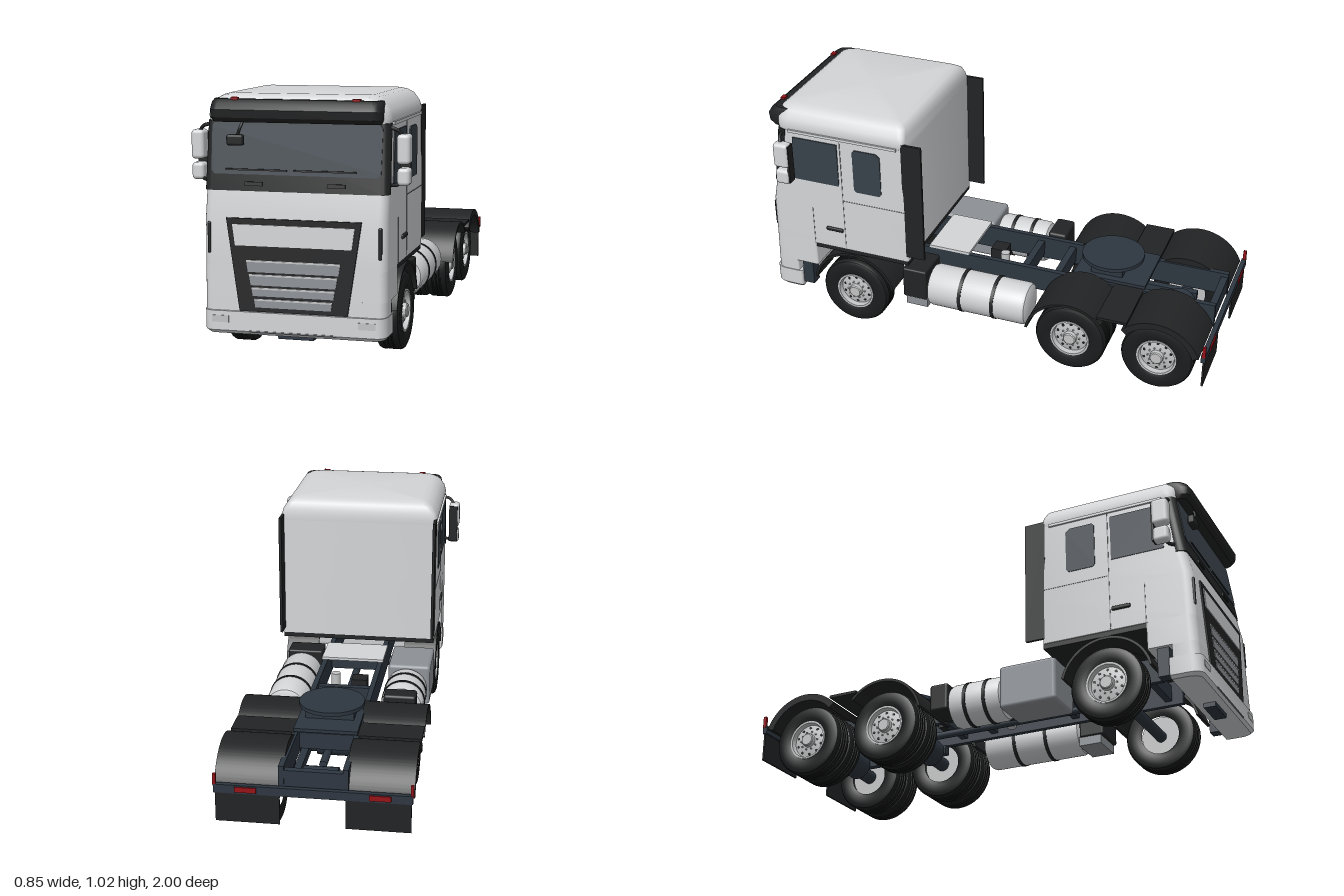
import * as THREE from 'three';
import { toCreasedNormals } from 'three/addons/utils/BufferGeometryUtils.js';
import { RoundedBoxGeometry } from 'three/addons/geometries/RoundedBoxGeometry.js';

const paint = (name, color) => Object.assign(new THREE.MeshStandardMaterial({ color }), { name });

export function createModel() {
  const root = new THREE.Group();
  root.name = 'tractorTruck';
  const body = paint('bodyPaint', 0xd3d5d7), black = paint('blackPlastic', 0x222324), glass = paint('tintedGlass', 0x39424a);
  const steel = paint('chassisSteel', 0x2d3640), rubber = paint('tyreRubber', 0x1b1c1d), silver = paint('rimSilver', 0xc2c3c4);
  const grey = paint('greyMetal', 0x8d9196), red = paint('redLamp', 0x961218);

  const add = (name, geo, mat, x = 0, y = 0, z = 0, parent = root) => {
    const m = new THREE.Mesh(geo, mat);
    m.name = name;
    m.position.set(x, y, z);
    parent.add(m);
    return m;
  };
  const box = (name, mat, w, h, d, x, y, z) => add(name, new THREE.BoxGeometry(w, h, d), mat, x, y, z);
  const rbox = (name, mat, w, h, d, x, y, z, r) => add(name, new RoundedBoxGeometry(w, h, d, 3, r), mat, x, y, z);
  const cyl = (name, mat, r, len, axis, x, y, z, seg = 32) => {
    const g = new THREE.CylinderGeometry(r, r, len, seg);
    if (axis === 'x') g.rotateZ(Math.PI / 2);
    if (axis === 'z') g.rotateX(Math.PI / 2);
    return add(name, g, mat, x, y, z);
  };
  const bothSides = (fn) => [1, -1].forEach(fn);

  // Stacks rounded plan outlines: [y, halfWidth, zBack, zFront, frontRadius, backRadius]
  const loft = (name, mat, sections, crease = 0.5) => {
    const rings = sections.map(([y, w, zb, zf, rf, rb]) => {
      const pts = [];
      [[1, 1], [-1, 1], [-1, -1], [1, -1]].forEach(([sx, sz], q) => {
        const rz = sz > 0 ? rf : rb, rx = rz * 0.75;
        for (let k = 0; k <= 5; k++) {
          const a = (q + k / 5) * Math.PI / 2;
          pts.push([sx * (w - rx) + rx * Math.cos(a), y, (sz > 0 ? zf - rz : zb + rz) + rz * Math.sin(a)]);
        }
      });
      return pts;
    });
    const pos = [], n = rings[0].length;
    const tri = (...p) => p.forEach((v) => pos.push(...v));
    const mid = (s) => [0, s[0], (s[2] + s[3]) / 2];
    const last = rings.length - 1;
    for (let i = 0; i < n; i++) {
      const j = (i + 1) % n;
      for (let k = 0; k < last; k++) {
        tri(rings[k][i], rings[k + 1][i], rings[k + 1][j]);
        tri(rings[k][i], rings[k + 1][j], rings[k][j]);
      }
      tri(mid(sections[0]), rings[0][i], rings[0][j]);
      tri(mid(sections[last]), rings[last][j], rings[last][i]);
    }
    const g = new THREE.BufferGeometry();
    g.setAttribute('position', new THREE.Float32BufferAttribute(pos, 3));
    return add(name, toCreasedNormals(g, crease), mat);
  };

  // Plates: front ones follow the raked nose, side ones take (z, y) outlines
  const shapeOf = (pts) => new THREE.Shape(pts.map((p) => new THREE.Vector2(...p)));
  const noseZ = (y) => y < 0.56 ? 0.985 - (y - 0.2) * 0.02 : y < 0.66 ? 0.978 - (y - 0.56) * 0.2 : 0.958 - (y - 0.66) * 0.14;
  const frontPlate = (name, mat, pts, off, depth = 0.006) => {
    const g = new THREE.ExtrudeGeometry(shapeOf(pts), { depth, bevelEnabled: false });
    const p = g.attributes.position;
    for (let i = 0; i < p.count; i++) p.setZ(i, p.getZ(i) + noseZ(p.getY(i)) + off);
    g.computeVertexNormals();
    return add(name, g, mat);
  };
  const trapezoid = (y0, y1, w0, w1, cx = 0) => [[cx - w0, y0], [cx + w0, y0], [cx + w1, y1], [cx - w1, y1]];
  const sideExtrude = (name, mat, shape, width, x, y = 0, z = 0) => {
    const g = new THREE.ExtrudeGeometry(shape, { depth: width, bevelEnabled: false, curveSegments: 32 });
    g.translate(0, 0, -width / 2).rotateY(-Math.PI / 2);
    return add(name, toCreasedNormals(g, 0.5), mat, x, y, z);
  };
  const arch = (r0, r1, deg0, deg1) => {
    const s = new THREE.Shape(), a = deg0 * Math.PI / 180, b = deg1 * Math.PI / 180;
    s.absarc(0, 0, r1, a, b, false);
    s.absarc(0, 0, r0, b, a, true);
    return s;
  };

  // Cab shell, roof and bumper
  loft('cabBody', body, [[0.375, 0.355, 0.335, 0.981, 0.04, 0.015], [0.56, 0.355, 0.335, 0.978, 0.04, 0.015],
    [0.66, 0.355, 0.335, 0.958, 0.04, 0.015], [0.92, 0.352, 0.335, 0.922, 0.04, 0.015]]);
  loft('cabLowerFront', body, [[0.26, 0.355, 0.78, 0.984, 0.04, 0.01], [0.376, 0.355, 0.78, 0.981, 0.04, 0.01]]);
  loft('bumperUpper', body, [[0.2, 0.354, 0.88, 0.985, 0.04, 0.01], [0.262, 0.355, 0.88, 0.984, 0.04, 0.01]]);
  loft('bumper', body, [[0.117, 0.345, 0.87, 0.985, 0.05, 0.01], [0.13, 0.356, 0.865, 0.996, 0.05, 0.01], [0.205, 0.357, 0.865, 0.996, 0.05, 0.01]]);
  loft('roof', body, [[0.915, 0.35, 0.335, 0.925, 0.04, 0.02], [0.94, 0.356, 0.335, 0.93, 0.05, 0.02], [0.97, 0.348, 0.337, 0.935, 0.06, 0.03],
    [1.0, 0.328, 0.345, 0.928, 0.06, 0.03], [1.015, 0.305, 0.362, 0.91, 0.06, 0.03], [1.022, 0.28, 0.39, 0.88, 0.06, 0.03]], 0.9);
  loft('sunVisor', black, [[0.918, 0.325, 0.88, 0.965, 0.04, 0.01], [0.935, 0.332, 0.88, 0.98, 0.045, 0.01],
    [0.965, 0.332, 0.88, 0.984, 0.045, 0.01], [0.99, 0.33, 0.88, 0.968, 0.045, 0.01], [1.003, 0.325, 0.88, 0.95, 0.045, 0.01]]);
  loft('windscreenSurround', black, [[0.66, 0.358, 0.92, 0.962, 0.035, 0.002], [0.92, 0.355, 0.885, 0.926, 0.035, 0.002]]);
  box('cabFloorEdge', black, 0.7, 0.022, 0.445, 0, 0.365, 0.56);

  // Windscreen, wipers and front mirror
  frontPlate('windscreen', glass, [[-0.315, 0.722], [0.315, 0.722], [0.328, 0.735], [0.33, 0.9], [0.322, 0.915], [-0.322, 0.915], [-0.33, 0.9], [-0.328, 0.735]], 0.001);
  frontPlate('wiperRight', black, trapezoid(0.737, 0.743, 0.12, 0.12, -0.15), 0.008);
  frontPlate('wiperLeft', black, trapezoid(0.737, 0.743, 0.12, 0.12, 0.115), 0.008);
  rbox('kerbMirror', black, 0.066, 0.042, 0.03, -0.23, 0.851, 0.96, 0.01);
  const rod = (name, pts, r = 0.006) => add(name, new THREE.TubeGeometry(new THREE.CatmullRomCurve3(pts.map((p) => new THREE.Vector3(...p))), 12, r, 8), black);
  rod('kerbMirrorArm', [[-0.225, 0.86, 0.96], [-0.21, 0.895, 0.965], [-0.2, 0.925, 0.955]]);

  // Grille with body-coloured insert and slats
  frontPlate('grille', black, trapezoid(0.207, 0.56, 0.21, 0.262), 0, 0.007);
  frontPlate('grilleInsert', body, trapezoid(0.457, 0.537, 0.226, 0.237), 0.004, 0.007);
  [[0.358, 0.403, 0.176, 0.183], [0.308, 0.35, 0.165, 0.172], [0.267, 0.3, 0.157, 0.162], [0.224, 0.257, 0.147, 0.152]].forEach(([a, b, w0, w1]) => {
    frontPlate('grilleSlat', grey, trapezoid(a, b, w0, w1), 0.004);
    frontPlate('slatEdge', silver, trapezoid(b - 0.007, b, w1 - 0.001, w1), 0.005);
  });
  box('bumperStep', grey, 0.34, 0.005, 0.004, 0, 0.131, 0.997);
  box('towBar', steel, 0.14, 0.03, 0.05, 0, 0.113, 0.93);

  // Mirrored cab details
  bothSides((s) => {
    frontPlate('bonnetHandle', rubber, trapezoid(0.68, 0.695, 0.035, 0.035, s * 0.16), 0.004);
    box('fogLamp', silver, 0.066, 0.026, 0.006, s * 0.285, 0.174, 0.995);
    rbox('cornerVent', black, 0.014, 0.12, 0.03, s * 0.331, 0.482, 0.968, 0.006);
    box('roofMarker', red, 0.028, 0.01, 0.02, s * 0.235, 1.005, 0.945);
    sideExtrude('doorWindow', glass, shapeOf([[0.645, 0.69], [0.872, 0.69], [0.852, 0.89], [0.645, 0.89]]), 0.006, s * 0.3545);
    sideExtrude('sleeperWindow', glass, shapeOf([[0.455, 0.678], [0.565, 0.678], [0.574, 0.69], [0.574, 0.87], [0.565, 0.88], [0.465, 0.88], [0.447, 0.865], [0.447, 0.69]]), 0.006, s * 0.3545);
    rbox('doorHandle', black, 0.014, 0.018, 0.08, s * 0.356, 0.467, 0.68, 0.006);
    box('doorSeam', grey, 0.003, 0.53, 0.003, s * 0.355, 0.645, 0.632);
    box('waistSeam', grey, 0.003, 0.003, 0.29, s * 0.355, 0.62, 0.485);
    box('stepSeam', grey, 0.003, 0.18, 0.003, s * 0.355, 0.465, 0.782);
    box('roofGutter', body, 0.01, 0.012, 0.5, s * 0.355, 0.918, 0.62);
    box('sideDeflector', black, 0.012, 0.545, 0.09, s * 0.348, 0.673, 0.305);
    box('entryStep', steel, 0.05, 0.12, 0.05, s * 0.315, 0.2, 0.84);
    // Mirrors
    rbox('mainMirror', body, 0.05, 0.112, 0.07, s * 0.4, 0.825, 0.88, 0.015);
    rbox('wideMirror', body, 0.048, 0.066, 0.065, s * 0.4, 0.723, 0.88, 0.015);
    box('mirrorGlass', black, 0.04, 0.175, 0.01, s * 0.397, 0.785, 0.848);
    rod('mirrorArmUpper', [[s * 0.345, 0.905, 0.9], [s * 0.375, 0.897, 0.9], [s * 0.4, 0.87, 0.885]], 0.007);
    rod('mirrorArmLower', [[s * 0.345, 0.695, 0.92], [s * 0.375, 0.693, 0.9], [s * 0.395, 0.705, 0.885]], 0.007);
  });

  // Chassis
  bothSides((s) => box('chassisRail', steel, 0.022, 0.105, 1.73, s * 0.125, 0.27, -0.102));
  [0.7, 0.28, -0.11, -0.26, -0.6, -0.95].forEach((z) => box('crossMember', steel, 0.25, 0.07, 0.03, 0, 0.27, z));
  cyl('driveShaft', steel, 0.016, 1.15, 'z', 0, 0.22, -0.15, 16);
  box('catwalk', body, 0.28, 0.012, 0.19, 0, 0.33, 0.235);
  cyl('airFilter', silver, 0.02, 0.1, 'y', 0.055, 0.27, 0, 20);
  box('valveBlock', black, 0.07, 0.06, 0.07, -0.045, 0.25, 0.06);
  box('valveBlock', black, 0.05, 0.04, 0.03, 0.05, 0.29, -0.33);

  // Coupling plate
  cyl('couplingDisc', steel, 0.135, 0.016, 'y', 0, 0.389, -0.48, 48);
  box('couplingPedestal', steel, 0.2, 0.05, 0.14, 0, 0.36, -0.48);
  box('couplingBase', steel, 0.26, 0.014, 0.32, 0, 0.335, -0.5);

  // Tanks and boxes alongside the rails
  const tank = (x, z0, z1, bands) => {
    const r = 0.093, len = z1 - z0;
    const prof = [[0, 0], [r - 0.018, 0], [r - 0.006, 0.005], [r, 0.018], [r, len - 0.018], [r - 0.006, len - 0.005], [r - 0.018, len], [0, len]];
    const g = new THREE.LatheGeometry(prof.map((p) => new THREE.Vector2(...p)), 40).rotateX(Math.PI / 2);
    add('tank', toCreasedNormals(g, 0.7), body, x, 0.216, z0);
    bands.forEach((z) => cyl('tankStrap', black, r + 0.003, 0.015, 'z', x, 0.216, z, 40));
  };
  tank(0.25, -0.19, 0.265, [-0.04, 0.11]);
  tank(-0.25, -0.108, 0.132, [-0.03, 0.06]);
  rbox('batteryBox', black, 0.16, 0.145, 0.11, 0.24, 0.238, 0.328, 0.008);
  box('batteryTray', grey, 0.15, 0.04, 0.1, 0.24, 0.148, 0.32);
  rbox('exhaustBox', grey, 0.19, 0.185, 0.25, -0.258, 0.222, 0.262, 0.015);
  rbox('additiveTank', black, 0.14, 0.12, 0.085, -0.25, 0.25, -0.16, 0.012);

  // Wheels: grooved tyre, dished rim, bolts and vent holes
  const half = [[0.084, 0.043], [0.1, 0.05], [0.135, 0.05], [0.149, 0.044], [0.155, 0.034], [0.155, 0.021], [0.149, 0.019], [0.149, 0.015], [0.155, 0.013], [0.155, 0.003], [0.149, 0.001]];
  const profile = [...half.map(([r, y]) => [r, -y]), ...half.slice().reverse()].map((p) => new THREE.Vector2(...p));
  const tyreGeo = toCreasedNormals(new THREE.LatheGeometry(profile, 48), 0.6);
  const rimPts = [[0, -0.03], [0.086, -0.03], [0.086, 0.047], [0.078, 0.047], [0.073, 0.026], [0.046, 0.032], [0.03, 0.034], [0.028, 0.05], [0.024, 0.054], [0, 0.054]];
  const rimGeo = toCreasedNormals(new THREE.LatheGeometry(rimPts.map((p) => new THREE.Vector2(...p)), 40), 0.6);
  const holeGeo = new THREE.CylinderGeometry(0.006, 0.006, 0.004, 12), boltGeo = new THREE.CylinderGeometry(0.0035, 0.0035, 0.01, 6);
  const wheel = (name, s, x, z) => {
    const w = new THREE.Group();
    w.name = name;
    w.position.set(s * x, 0.155, z);
    w.rotation.z = -s * Math.PI / 2;
    root.add(w);
    add('tyre', tyreGeo, rubber, 0, 0, 0, w);
    add('rim', rimGeo, silver, 0, 0, 0, w);
    for (let i = 0; i < 10; i++) {
      const a = i * Math.PI / 5, b = a + Math.PI / 10;
      add('ventHole', holeGeo, black, Math.cos(a) * 0.06, 0.0285, Math.sin(a) * 0.06, w);
      add('wheelBolt', boltGeo, silver, Math.cos(b) * 0.04, 0.035, Math.sin(b) * 0.04, w);
    }
  };
  bothSides((s) => {
    wheel('frontWheel', s, 0.303, 0.605);
    [-0.4, -0.78].forEach((z) => {
      wheel('rearOuterWheel', s, 0.303, z);
      wheel('rearInnerWheel', s, 0.203, z);
    });
    // Mudguards, flaps and tail lamps
    sideExtrude('frontMudguard', black, arch(0.186, 0.197, 12, 165), 0.15, s * 0.28, 0.155, 0.605);
    sideExtrude('middleMudguard', black, arch(0.184, 0.195, 12, 138), 0.265, s * 0.256, 0.155, -0.4);
    sideExtrude('rearMudguard', black, arch(0.168, 0.197, 42, 160), 0.265, s * 0.256, 0.155, -0.78);
    box('mudguardBridge', black, 0.262, 0.012, 0.13, s * 0.256, 0.318, -0.59);
    box('mudflap', black, 0.252, 0.135, 0.008, s * 0.254, 0.153, -0.985);
    box('tailLamp', red, 0.085, 0.022, 0.006, s * 0.26, 0.226, -0.995);
    box('sideMarker', red, 0.012, 0.05, 0.014, s * 0.382, 0.26, -0.985);
    box('suspensionArm', steel, 0.03, 0.04, 0.5, s * 0.1, 0.19, -0.59);
  });
  box('tailBar', steel, 0.77, 0.035, 0.02, 0, 0.225, -0.983);

  // Axles and differentials
  cyl('frontAxle', steel, 0.024, 0.56, 'x', 0, 0.15, 0.605, 16);
  [-0.4, -0.78].forEach((z) => {
    cyl('rearAxle', steel, 0.03, 0.56, 'x', 0, 0.155, z, 20);
    cyl('differential', steel, 0.06, 0.14, 'x', 0, 0.175, z, 28);
  });
  return root;
}
